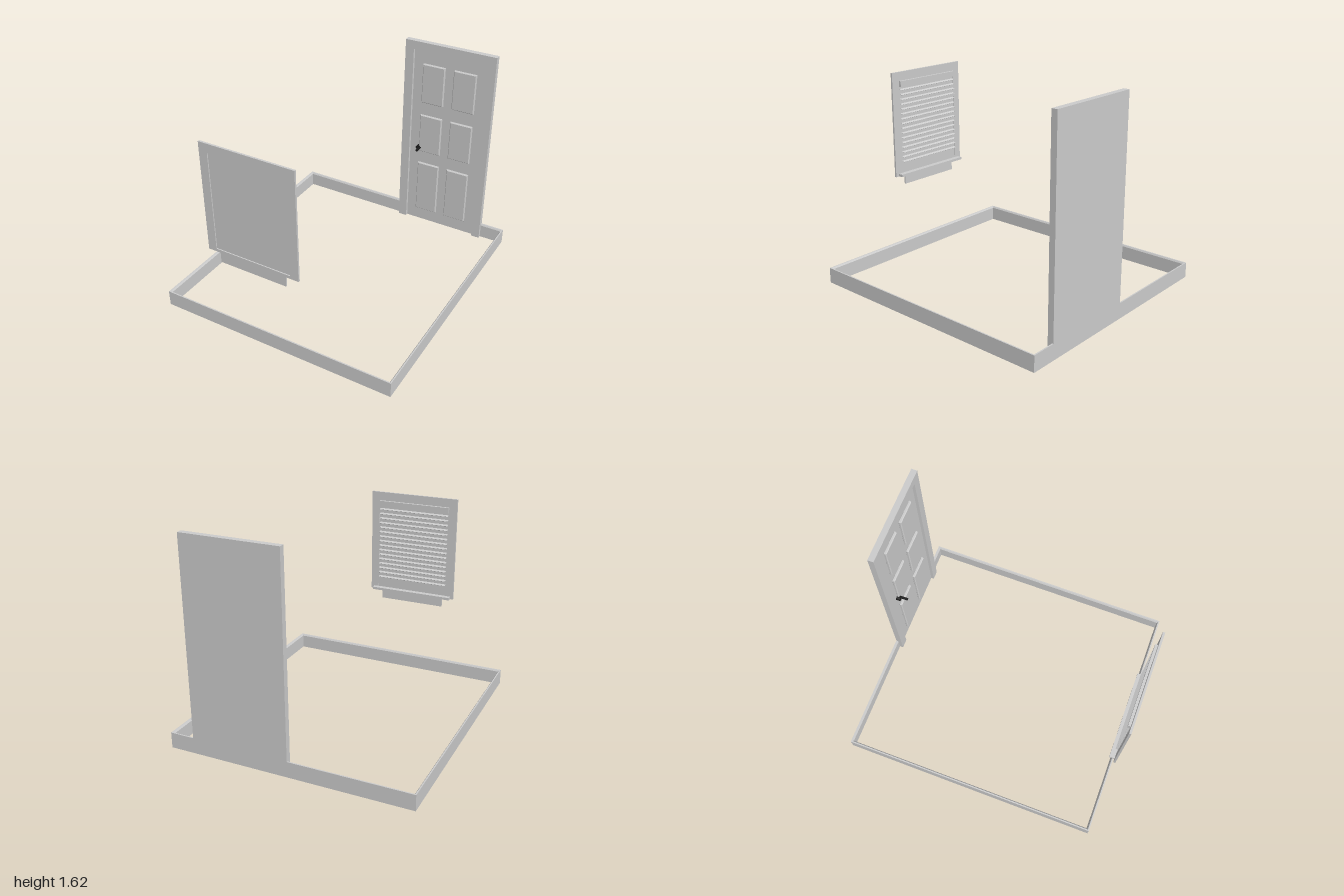
import * as THREE from 'three';

const paint = new THREE.MeshStandardMaterial({ color: 0xf0f0ee });
const paneMat = new THREE.MeshStandardMaterial({ color: 0xc6c6c6 });
const black = new THREE.MeshStandardMaterial({ color: 0x1c1c1c });

function add(parent, name, geometry, material = paint) {
  const mesh = new THREE.Mesh(geometry, material);
  mesh.name = name;
  parent.add(mesh);
  return mesh;
}

// Box given by its lower and upper limits on each axis
function box(parent, name, [x0, x1], [y0, y1], [z0, z1], material) {
  const mesh = add(parent, name, new THREE.BoxGeometry(x1 - x0, y1 - y0, z1 - z0), material);
  mesh.position.set((x0 + x1) / 2, (y0 + y1) / 2, (z0 + z1) / 2);
  return mesh;
}

function rect(Type, x0, x1, y0, y1) {
  const r = new Type();
  r.moveTo(x0, y0);
  r.lineTo(x1, y0);
  r.lineTo(x1, y1);
  r.lineTo(x0, y1);
  r.closePath();
  return r;
}

// Skirting board: a section with a chamfered inner top edge, swept round the room
function skirtingGeometry() {
  const corners = [[1, -1], [1, 1], [-1, 1], [-1, -1]];
  // inward offset and height
  const section = [[0, 0], [0.018, 0], [0.018, 0.108], [0.01, 0.12], [0, 0.12]];
  const pos = [], index = [], n = section.length;
  for (const [sx, sz] of corners)
    for (const [t, y] of section) pos.push(sx * (0.928 - t), y, sz * (1 - t));
  for (let i = 0; i < 4; i++)
    for (let j = 0; j < n; j++) {
      const k = (j + 1) % n, next = ((i + 1) % 4) * n;
      const a = i * n + j, b = i * n + k, c = next + j, d = next + k;
      index.push(a, c, b, b, c, d);
    }
  const g = new THREE.BufferGeometry();
  g.setAttribute('position', new THREE.Float32BufferAttribute(pos, 3));
  g.setIndex(index);
  const flat = g.toNonIndexed();
  flat.computeVertexNormals();
  return flat;
}

function createDoor() {
  const door = new THREE.Group();
  door.name = 'door';

  // Frame
  const z = [-1, -0.955];
  box(door, 'leftJamb', [0.673, 0.74], [0, 1.55], z);
  box(door, 'rightJamb', [-0.008, 0.063], [0, 1.55], z);
  box(door, 'doorHead', [-0.008, 0.74], [1.55, 1.618], z);

  // Leaf with six raised panels, bevelled round the edge
  box(door, 'leaf', [0.063, 0.673], [0, 1.55], [-1, -0.978]);
  const m = 0.006;
  for (const [x0, x1] of [[0.146, 0.332], [0.406, 0.592]])
    for (const [y0, y1] of [[0.11, 0.558], [0.668, 0.998], [1.11, 1.44]]) {
      const panel = add(door, 'raisedPanel', new THREE.ExtrudeGeometry(rect(THREE.Shape, x0, x1, y0, y1), {
        depth: 0.012, bevelEnabled: true, bevelSegments: 1,
        bevelThickness: 0.006, bevelSize: m, bevelOffset: -m,
      }));
      panel.position.z = -0.976;
    }

  // Handle
  const handle = new THREE.Group();
  handle.name = 'doorHandle';
  door.add(handle);
  const rose = add(handle, 'handleRose', new THREE.CylinderGeometry(0.018, 0.018, 0.033, 20), black);
  rose.rotation.x = Math.PI / 2;
  rose.position.set(0.143, 0.702, -0.9625);
  box(handle, 'handleStem', [0.15, 0.166], [0.696, 0.708], [-0.96, -0.894], black);
  return door;
}

function createWindow() {
  const win = new THREE.Group();
  win.name = 'window';

  // Frame and pane
  const outline = rect(THREE.Shape, -0.49, 0.237, 0.678, 1.515);
  outline.holes.push(rect(THREE.Path, -0.425, 0.172, 0.70, 1.448));
  const frame = add(win, 'windowFrame', new THREE.ExtrudeGeometry(outline, { depth: 0.015, bevelEnabled: false }));
  frame.position.z = 0.985;
  box(win, 'pane', [-0.425, 0.172], [0.70, 1.448], [0.988, 0.992], paneMat);

  // Sill and apron
  box(win, 'sill', [-0.466, 0.209], [0.68, 0.70], [0.945, 0.987]);
  box(win, 'apron', [-0.392, 0.138], [0.60, 0.678], [0.988, 1]);

  // Blind: head rail and tilted slats
  const blind = new THREE.Group();
  blind.name = 'blind';
  win.add(blind);
  box(blind, 'headRail', [-0.423, 0.168], [1.40, 1.445], [0.966, 0.987]);
  const slat = new THREE.BoxGeometry(0.585, 0.002, 0.021);
  for (let i = 0; i < 16; i++) {
    const s = add(blind, 'slat', slat);
    s.position.set(-0.128, 0.795 + i * 0.0388, 0.976);
    s.rotation.x = -0.4;
  }
  return win;
}

export function createModel() {
  const model = new THREE.Group();
  model.name = 'roomFittings';
  add(model, 'skirtingBoard', skirtingGeometry());
  model.add(createDoor(), createWindow());
  return model;
}
